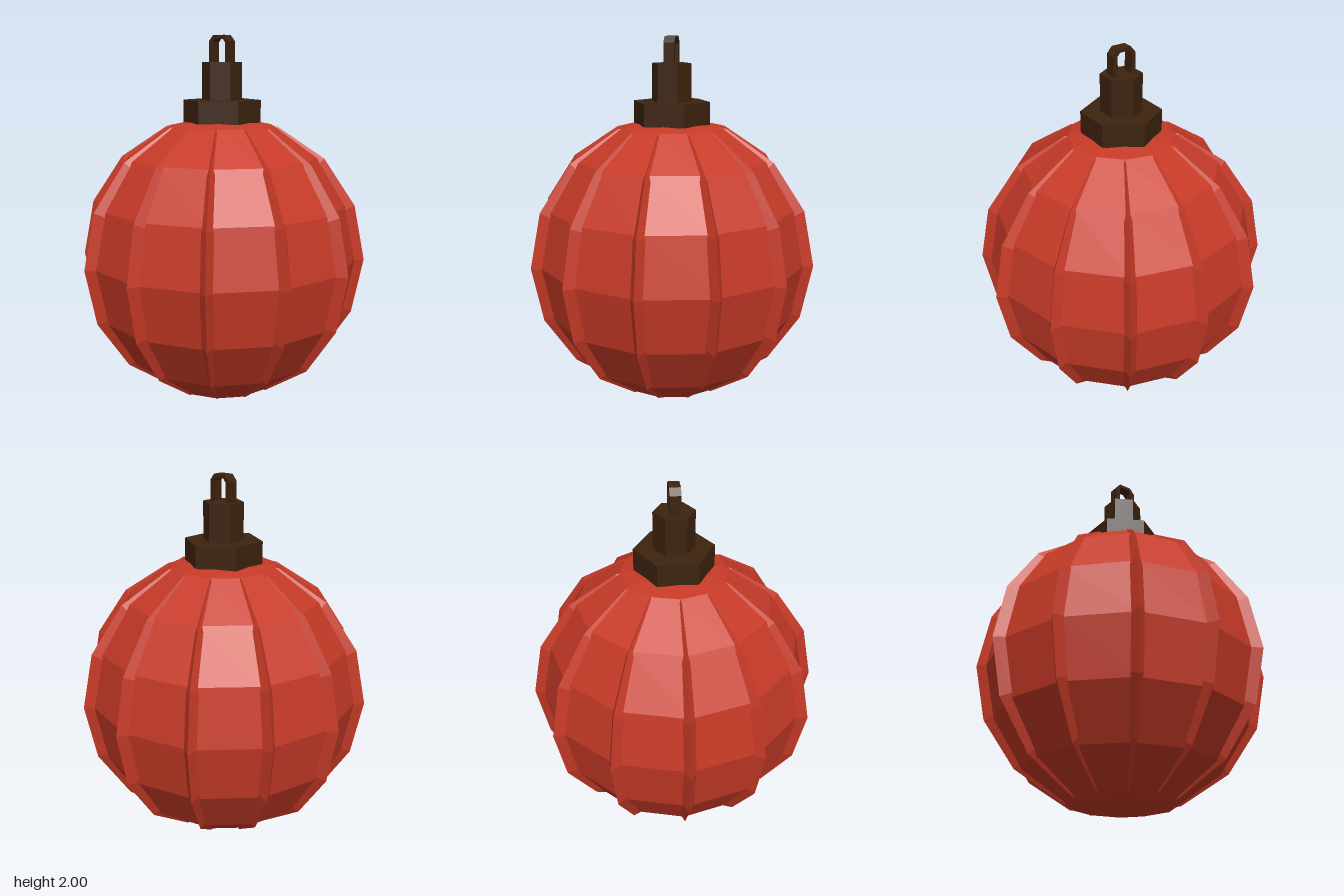
import * as THREE from 'three';

export function createModel() {
  const group = new THREE.Group();
  const red = new THREE.MeshStandardMaterial({ name: 'red', color: 0xc73a27, flatShading: true });
  const brown = new THREE.MeshStandardMaterial({ name: 'darkBrown', color: 0x3d230f, flatShading: true });
  const centreY = 0.793;

  const add = (name, geometry, material, y) => {
    const mesh = new THREE.Mesh(geometry, material);
    mesh.name = name;
    mesh.position.y = y;
    group.add(mesh);
    return mesh;
  };

  // Faceted bauble, slightly taller than wide so the ribs sink in at the poles
  const body = new THREE.SphereGeometry(1, 12, 8);
  body.scale(0.735, 0.79, 0.735);
  add('bauble', body, red, centreY);

  // Six triangular hoops make twelve ribs
  for (let i = 0; i < 6; i++) {
    const rib = add('rib' + (i + 1), new THREE.TorusGeometry(0.75, 0.036, 3, 16), red, centreY);
    rib.rotation.y = (i * Math.PI) / 6;
  }

  // Hexagonal cap and neck
  add('cap', new THREE.CylinderGeometry(0.21, 0.21, 0.12, 6), brown, 1.6);
  add('neck', new THREE.CylinderGeometry(0.108, 0.108, 0.22, 6), brown, 1.75);

  // Hanging loop: chamfered arch with an open middle
  const arch = [
    [-0.065, 0], [-0.04, 0], [-0.04, 0.115], [-0.026, 0.132], [0.026, 0.132], [0.04, 0.115],
    [0.04, 0], [0.065, 0], [0.065, 0.119], [0.037, 0.152], [-0.037, 0.152], [-0.065, 0.119],
  ];
  const loop = new THREE.ExtrudeGeometry(
    new THREE.Shape(arch.map(([x, y]) => new THREE.Vector2(x, y))),
    { depth: 0.058, bevelEnabled: false },
  );
  loop.translate(0, 0, -0.029);
  add('hangingLoop', loop, brown, 1.848);

  return group;
}
